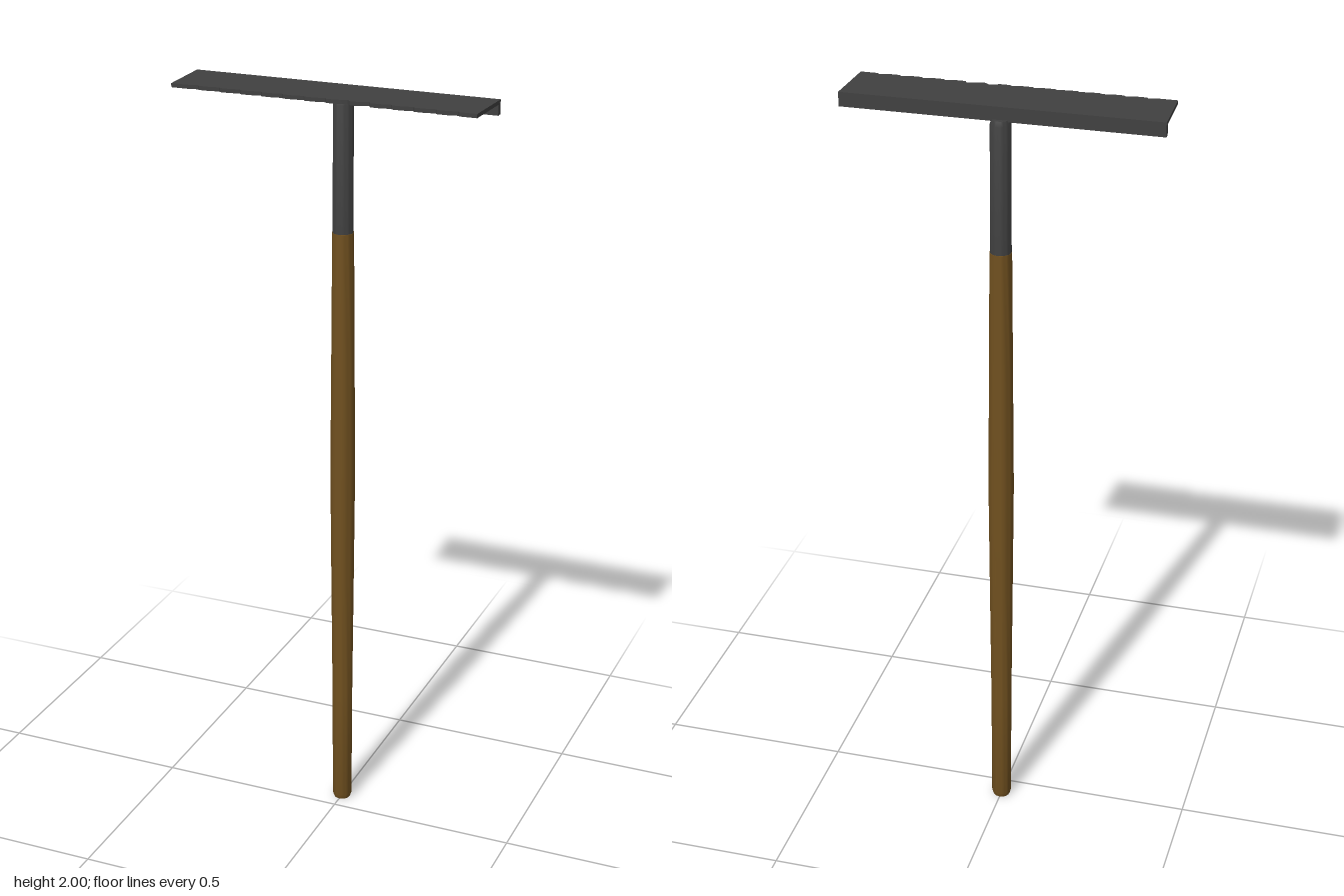
import * as THREE from 'three';
import { toCreasedNormals } from 'three/addons/utils/BufferGeometryUtils.js';

const HANDLE_Z = -0.055;
const wood = new THREE.MeshStandardMaterial({ color: 0x70501f });
const steel = new THREE.MeshStandardMaterial({ color: 0x404040 });

function addPart(group, name, geometry, material) {
  const mesh = new THREE.Mesh(toCreasedNormals(geometry, 0.6), material);
  mesh.name = name;
  group.add(mesh);
  return mesh;
}

// Round shaft from [radius, height] pairs
function shaft(profile) {
  return new THREE.LatheGeometry(profile.map(([r, y]) => new THREE.Vector2(r, y)), 24)
    .translate(0, 0, HANDLE_Z);
}

// Flat blade with a row of short worn teeth along its front edge
function bladeGeometry() {
  const teeth = 14, pitch = 0.0555, start = -pitch * (teeth - 1) / 2;
  const back = 0.065, tip = -0.089;
  const shape = new THREE.Shape();
  shape.moveTo(0.397, back);
  shape.lineTo(-0.397, back);
  shape.lineTo(-0.392, tip);
  for (let i = 0; i < teeth; i++) {
    const x = start + i * pitch;
    const half = i === 8 ? 0.007 : 0.012;
    // one tooth is worn narrower, with deeper gaps beside it
    const gap = i === 7 || i === 8 ? 0.01 : 0.005;
    if (i > 0) shape.lineTo(x - half, tip);
    shape.lineTo(x + half, tip);
    if (i < teeth - 1) {
      shape.lineTo(x + pitch - 0.017, tip + gap);
    }
  }
  shape.lineTo(0.392, tip);
  return new THREE.ExtrudeGeometry(shape, { depth: 0.01, bevelEnabled: false })
    .rotateX(-Math.PI / 2)
    .translate(0, 1.99, 0);
}

export function createModel() {
  const model = new THREE.Group();
  model.name = 'rake';

  // Wooden handle, slightly swollen in the middle, with a chamfered foot
  addPart(model, 'handle', shaft([
    [0, 0], [0.022, 0], [0.026, 0.012], [0.027, 0.33], [0.03, 0.67],
    [0.0325, 0.98], [0.03, 1.3], [0.0275, 1.63], [0, 1.63],
  ]), wood);

  // Metal socket joining the handle to the head
  addPart(model, 'socket', shaft([
    [0, 1.62], [0.0265, 1.62], [0.0255, 1.955], [0.022, 1.968], [0, 1.968],
  ]), steel);

  // Head: back rail with the blade on top
  const head = new THREE.Group();
  head.name = 'head';
  const rail = new THREE.BoxGeometry(0.794, 0.03, 0.016).translate(0, 1.979, -0.057);
  addPart(head, 'backRail', rail, steel);
  addPart(head, 'blade', bladeGeometry(), steel);
  model.add(head);

  return model;
}
